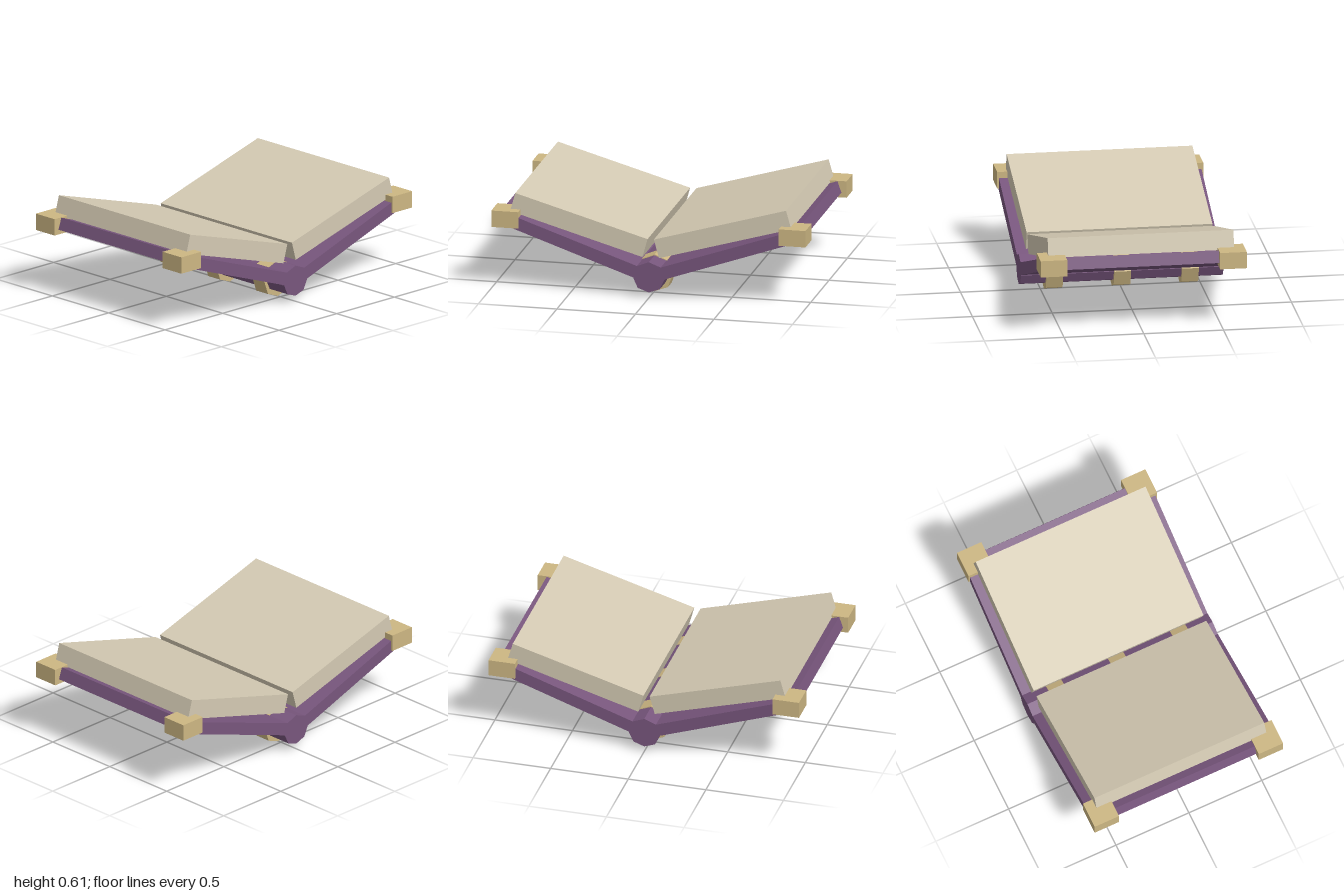
import * as THREE from 'three';

const mat = (name, color) => {
  const m = new THREE.MeshStandardMaterial({ color });
  m.name = name;
  return m;
};

// Prism along z from a closed outline of [x, y] points
function prism(name, points, depth, material, z = 0) {
  const shape = new THREE.Shape(points.map(([x, y]) => new THREE.Vector2(x, y)));
  const geo = new THREE.ExtrudeGeometry(shape, { depth, bevelEnabled: false });
  geo.translate(0, 0, z - depth / 2);
  const mesh = new THREE.Mesh(geo, material);
  mesh.name = name;
  return mesh;
}

// Full outline from the +x half, listed bottom to top with both ends on the axis
const mirrored = (half) => [
  ...half,
  ...half.slice(1, -1).reverse().map(([x, y]) => [-x, y]),
];

export function createModel() {
  const book = new THREE.Group();
  book.name = 'openBook';
  const leather = mat('purple leather', 0x78567d);
  const paper = mat('aged paper', 0xd4cab3);
  const brass = mat('pale brass', 0xcdb783);

  // Spine
  const spine = mirrored([[0, 0.04], [0.07, 0.065], [0.098, 0.125], [0.078, 0.205], [0, 0.235]]);
  book.add(prism('spine', spine, 1.27, leather));

  // Bands around the spine
  const band = mirrored([[0, 0.004], [0.085, 0.035], [0.12, 0.13], [0.08, 0.208], [0, 0.241]]);
  for (const z of [-0.425, 0, 0.425]) book.add(prism('spineBand', band, 0.105, brass, z));

  for (const side of [-1, 1]) {
    const name = side > 0 ? 'left' : 'right';
    const flip = (pts) => pts.map(([x, y]) => [x * side, y]);

    // Cover board, sloping up from the spine
    const cover = [[0.05, 0.113], [0.967, 0.431], [0.942, 0.504], [0.05, 0.197]];
    book.add(prism(name + 'Cover', flip(cover), 1.27, leather));

    // Page block
    const pages = [[0.053, 0.25], [0.895, 0.492], [0.862, 0.61], [0.02, 0.368]];
    book.add(prism(name + 'Pages', flip(pages), 1.165, paper));

    // Corner guards
    for (const z of [-1, 1]) {
      const corner = new THREE.Mesh(new THREE.BoxGeometry(0.17, 0.106, 0.167), brass);
      corner.name = name + 'Corner';
      corner.position.set(side * 0.915, 0.453, z * 0.5625);
      book.add(corner);
    }
  }
  return book;
}
